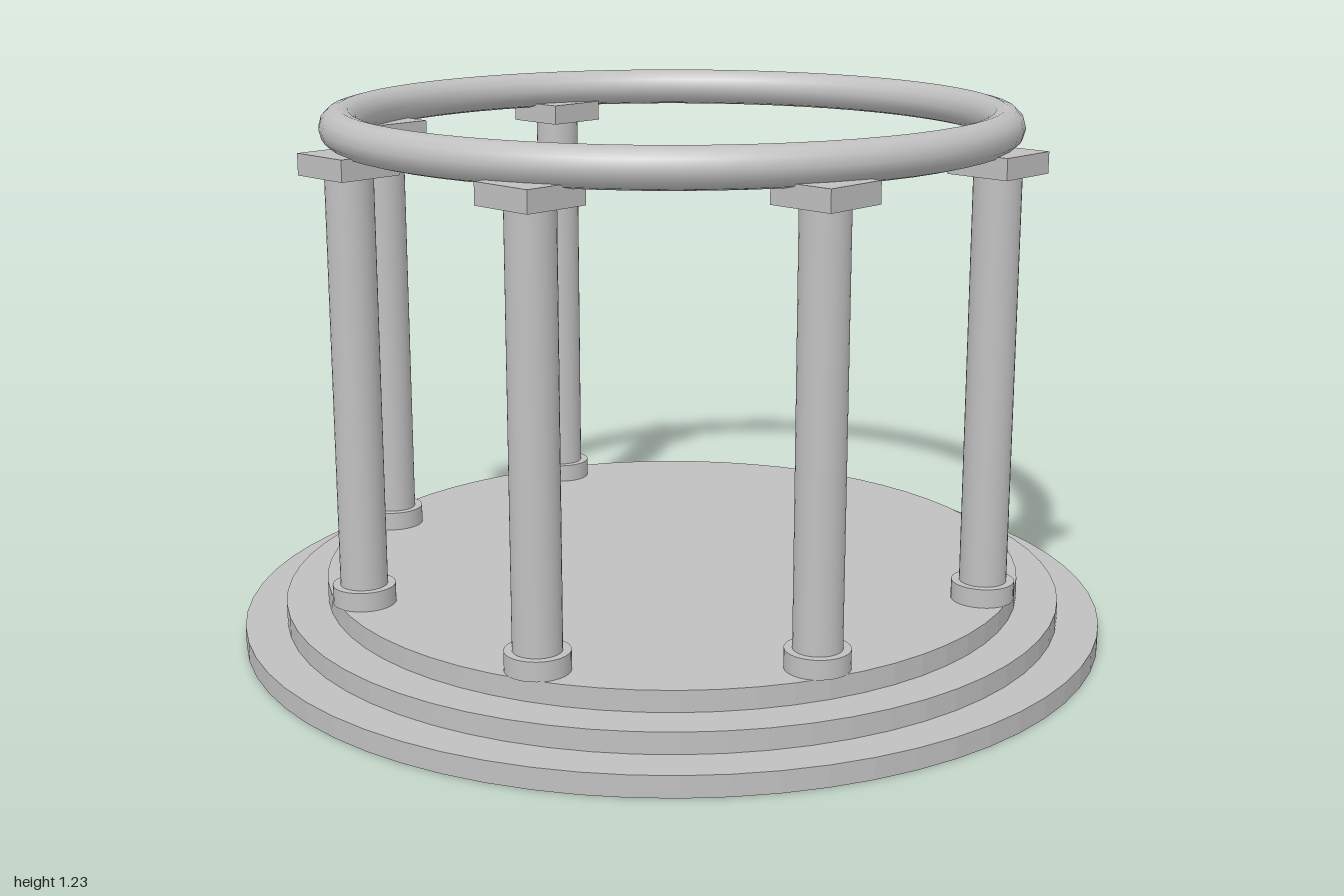
import * as THREE from 'three';

export function createModel() {
  const model = new THREE.Group();
  model.name = 'roundColonnade';

  const stone = new THREE.MeshStandardMaterial({ color: 0xc0c0c0 });
  stone.name = 'pale grey stone';
  const facetedStone = stone; // one colour throughout

  const add = (parent, name, geometry, x, y, z) => {
    const mesh = new THREE.Mesh(geometry, facetedStone);
    mesh.name = name;
    mesh.position.set(x, y, z);
    parent.add(mesh);
    return mesh;
  };

  // Three round steps, each flat-faceted around the rim
  const stepHeight = 0.0476;
  [1, 0.905, 0.81].forEach((radius, i) => {
    const step = new THREE.CylinderGeometry(radius, radius, stepHeight, 64).toNonIndexed();
    step.computeVertexNormals();
    add(model, `step${i + 1}`, step, 0, stepHeight * (i + 0.5), 0);
  });

  // Six columns on an octagon, with the two on the left side left out
  const floorY = stepHeight * 3;
  const capBottom = 1.103;
  const capHeight = 0.0476;
  const baseHeight = 0.043;
  const baseGeometry = new THREE.CylinderGeometry(0.07, 0.07, baseHeight, 32);
  const shaftGeometry = new THREE.CylinderGeometry(0.0525, 0.0525, capBottom - floorY, 32);
  const capGeometry = new THREE.BoxGeometry(0.153, capHeight, 0.153);
  for (let i = 1; i <= 6; i++) {
    const angle = (i + 0.5) * Math.PI / 4;
    const column = new THREE.Group();
    column.name = `column${i}`;
    column.position.set(0.75 * Math.cos(angle), 0, 0.75 * Math.sin(angle));
    add(column, 'columnBase', baseGeometry, 0, floorY + baseHeight / 2, 0);
    add(column, 'columnShaft', shaftGeometry, 0, (floorY + capBottom) / 2, 0);
    add(column, 'columnCap', capGeometry, 0, capBottom + capHeight / 2, 0);
    model.add(column);
  }

  // Ring resting on the caps
  const ring = add(model, 'topRing', new THREE.TorusGeometry(0.746, 0.044, 12, 64), 0, 1.183, 0);
  ring.rotation.x = Math.PI / 2;

  return model;
}
